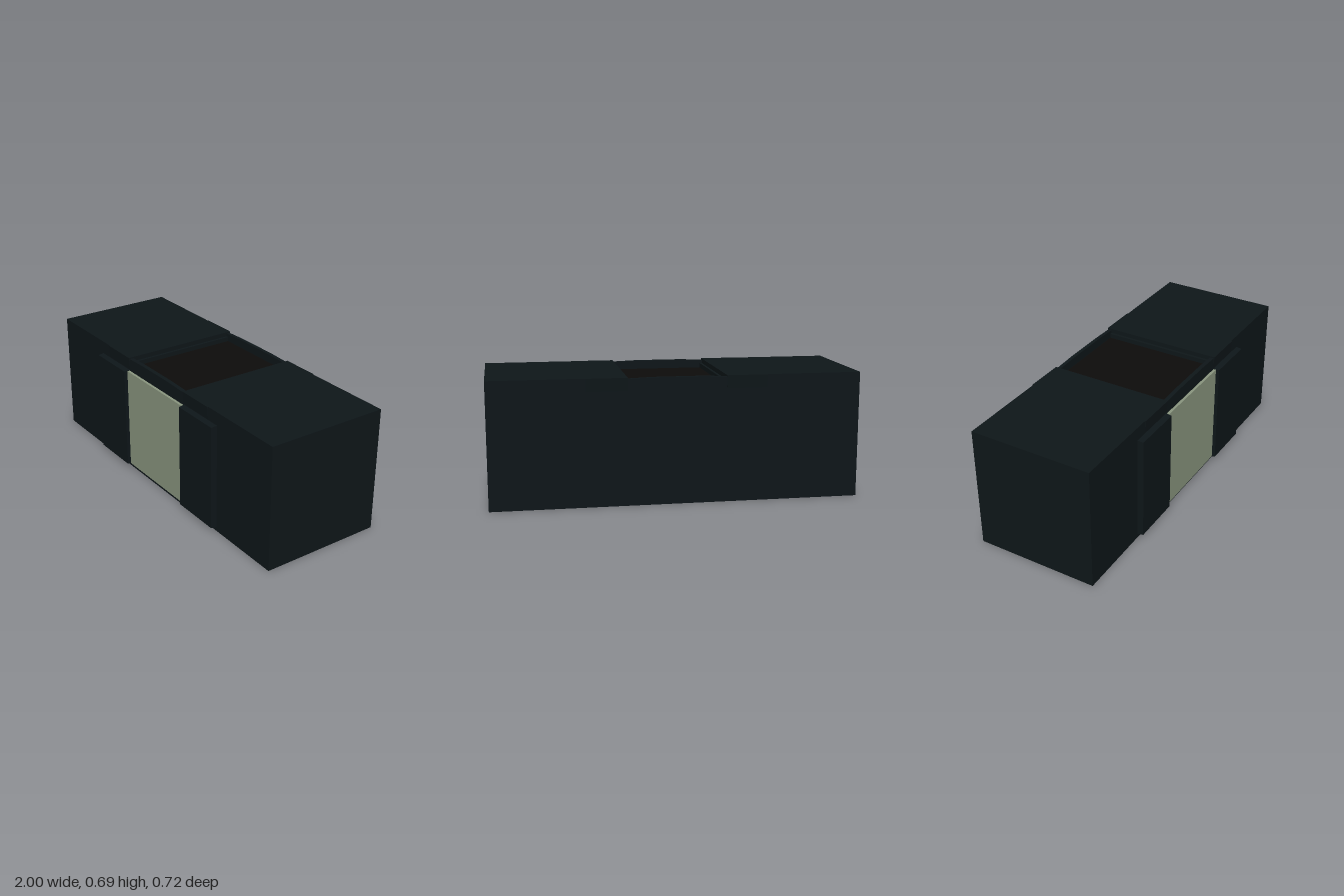
import * as THREE from 'three';

const shell = new THREE.MeshStandardMaterial({ color: 0x0e1619 });
const floorDark = new THREE.MeshStandardMaterial({ color: 0x0d0c0b });
const glass = new THREE.MeshStandardMaterial({ color: 0x8a967f });

// Body limits
const FRONT = 0.328, BACK = -0.355, TOP = 0.69, FLOOR = 0.64, SLOT = 0.265;

export function createModel() {
  const model = new THREE.Group();

  const add = (name, geometry, material = shell) => {
    const mesh = new THREE.Mesh(geometry, material);
    mesh.name = name;
    model.add(mesh);
    return mesh;
  };
  // Box given by its limits on each axis
  const box = (x0, x1, y0, y1, z0, z1) =>
    new THREE.BoxGeometry(x1 - x0, y1 - y0, z1 - z0)
      .translate((x0 + x1) / 2, (y0 + y1) / 2, (z0 + z1) / 2);
  // Closed outline in x and y, extruded between two z values
  const slab = (points, z0, z1) =>
    new THREE.ExtrudeGeometry(
      new THREE.Shape(points.map(([x, y]) => new THREE.Vector2(x, y))),
      { depth: z1 - z0, bevelEnabled: false }
    ).translate(0, 0, z0);

  // Main case: one U-shaped outline leaves the tray open at the top
  add('case', slab([
    [-1, 0], [1, 0], [1, TOP], [SLOT, TOP], [SLOT, FLOOR - 0.005],
    [-SLOT, FLOOR - 0.005], [-SLOT, TOP], [-1, TOP],
  ], BACK, FRONT));

  // Tray in the top, closed by low lips at the front and back
  add('trayFloor', box(-0.25, 0.25, FLOOR - 0.005, FLOOR, -0.335, 0.305), floorDark);
  const lip = [
    [-SLOT, FLOOR - 0.005], [SLOT, FLOOR - 0.005], [SLOT, 0.683],
    [0.13, 0.688], [-0.13, 0.688], [-SLOT, 0.683],
  ];
  add('frontLip', slab(lip, 0.305, FRONT));
  add('backLip', slab(lip, BACK, -0.335));

  for (const side of [-1, 1]) {
    const name = side > 0 ? 'left' : 'right';

    // Narrow ledge along the foot of the tray wall
    add(name + 'TrayLedge', box(0.25, SLOT, FLOOR - 0.005, 0.665, -0.335, 0.305)
      .translate(side > 0 ? 0 : -0.25 - SLOT, 0, 0));

    // Raised front panel, drawn in towards its face
    const panel = box(-0.147, 0.147, 0.023, 0.617, FRONT - 0.005, 0.361);
    const p = panel.attributes.position;
    for (let i = 0; i < p.count; i++) {
      if (p.getZ(i) < 0.35) continue;
      p.setX(i, p.getX(i) * 0.975);
      p.setY(i, 0.32 + (p.getY(i) - 0.32) * 0.985);
    }
    panel.computeVertexNormals();
    add(name + 'FrontPanel', panel).position.x = side * 0.416;

    // Slight outward flare of the rim beside the tray
    for (const [end, z, out] of [['Front', FRONT, 0.005], ['Back', BACK, -0.005]]) {
      const flare = box(-0.11, 0.11, 0.62, TOP, z - 0.004, z + 0.004);
      const f = flare.attributes.position;
      for (let i = 0; i < f.count; i++) {
        const outer = (f.getZ(i) - z) * out > 0;
        f.setZ(i, z + (outer ? (f.getY(i) > 0.65 ? out : 0) : -out));
      }
      flare.computeVertexNormals();
      add(name + end + 'Flare', flare).position.x = side * 0.375;
    }
  }

  // Pale window between the front panels
  add('window', box(-0.27, 0.27, 0.028, 0.612, FRONT - 0.005, 0.343), glass);

  return model;
}
